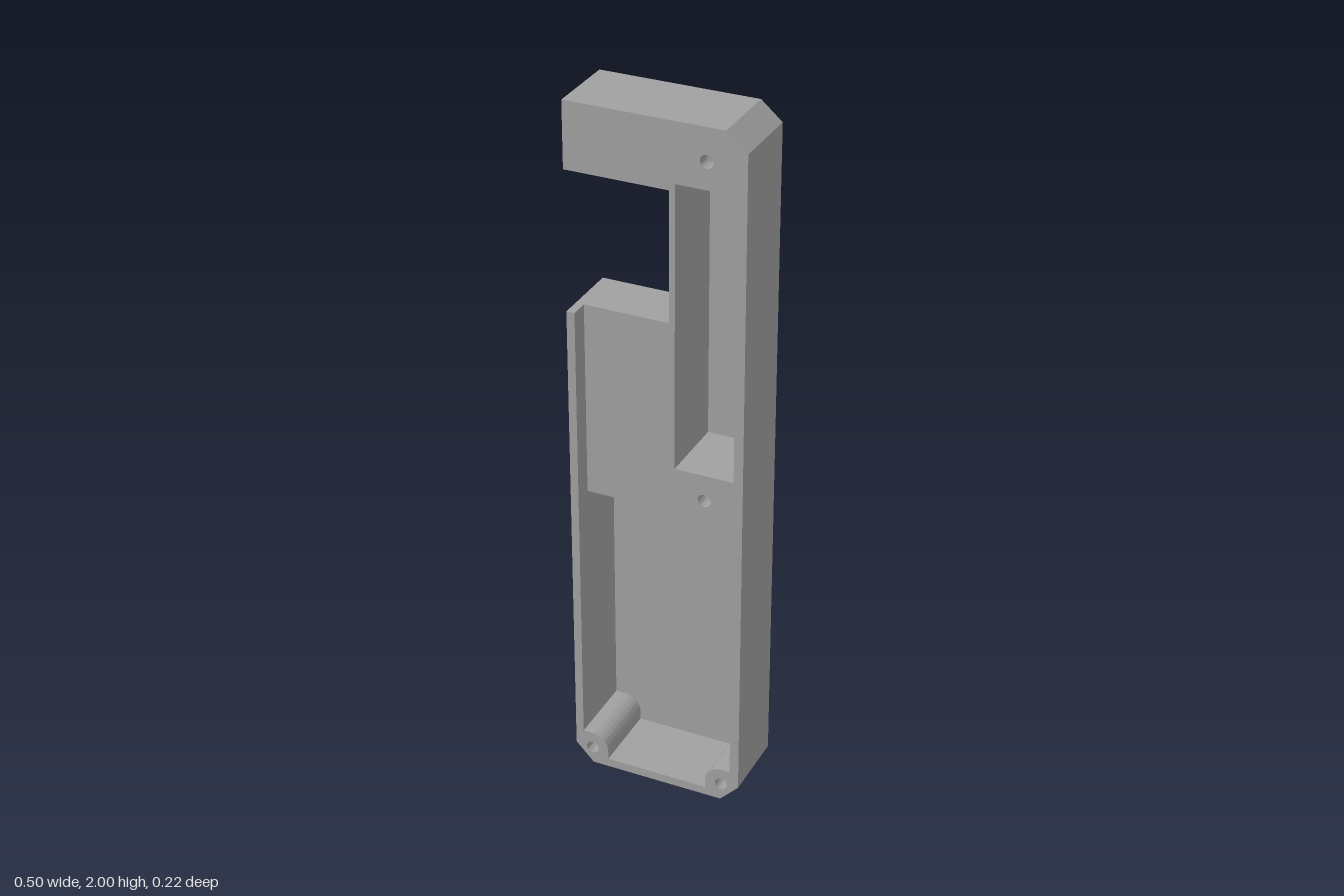
import * as THREE from 'three';
import { toCreasedNormals } from 'three/addons/utils/BufferGeometryUtils.js';

const HX = 0.248;                       // half width
const BX = 0.197, BY = 0.052;           // corner screw centre (mirrored)
const BORE = 0.037, SCREW = 0.018;      // counterbore and screw radii
const SLOT_A = -1.131, SLOT_B = -0.405; // where the corner bore breaks the chamfer
const BACK = -0.11, FLOOR = -0.1, SHELF = 0.055, SEAT = 0.07, FRONT = 0.108;
const WALL = 0.225, RIB = 0.04;         // inner wall and rib positions
const UPPER_SCREWS = [[0.14, 1.91], [0.14, 0.955]];

// outline corners above the base, each with its inset position on the bevelled back
const CORNERS = [
  [HX, 0.055, 0.238, 0.0446], [HX, 1.95, 0.238, 1.946], [0.19, 2, 0.186, 1.99],
  [-HX, 2, -0.238, 1.99], [-HX, 1.815, -0.238, 1.825], [RIB, 1.815, 0.05, 1.825],
  [RIB, 1.42, 0.05, 1.41], [-HX, 1.42, -0.238, 1.41], [-HX, 0.055, -0.238, 0.0446],
];

// cavity edge from the rib, clockwise round the bosses, to the left wall
function traceCavity(path, top) {
  path.lineTo(RIB, 0.515);
  path.lineTo(0.222, 0.515);
  path.lineTo(0.222, BY + 0.048);
  path.absarc(BX, BY, 0.048, Math.PI / 2, Math.PI, false);
  path.lineTo(BX - 0.048, 0.025);
  path.lineTo(-BX + 0.048, 0.025);
  path.absarc(-BX, BY, 0.048, 0, Math.PI / 2, false);
  path.lineTo(-WALL, BY + 0.048);
  path.lineTo(-WALL, top);
}

function outline(slots, openShelf) {
  const s = new THREE.Shape();
  s.moveTo(-0.195, 0);
  s.lineTo(0.195, 0);
  if (slots) s.absarc(BX, BY, BORE, SLOT_A, SLOT_B, true);
  CORNERS.forEach(([x, y], i) => {
    s.lineTo(x, y);
    if (openShelf && i === 6) traceCavity(s, 1.42);
  });
  if (slots) s.absarc(-BX, BY, BORE, Math.PI - SLOT_B, Math.PI - SLOT_A, true);
  s.closePath();
  return s;
}

function addCircle(shape, x, y, r) {
  const p = new THREE.Path();
  p.absarc(x, y, r, 0, Math.PI * 2, true);
  shape.holes.push(p);
}

function addSidePocket(shape) {
  shape.holes.push(new THREE.Path([
    [0.056, 1.03], [0.056, 1.835], [0.222, 1.835], [0.222, 1.03],
  ].map(([x, y]) => new THREE.Vector2(x, y))));
}

function layer(shape, z0, z1) {
  const g = new THREE.ExtrudeGeometry(shape, { depth: z1 - z0, bevelEnabled: false, curveSegments: 24 });
  return g.translate(0, 0, z0);
}

export function createModel() {
  const group = new THREE.Group();
  group.name = 'housing';
  const grey = new THREE.MeshStandardMaterial({ color: 0xa0a0a0 });
  grey.name = 'grey';
  const add = (name, geo) => {
    const m = new THREE.Mesh(toCreasedNormals(geo, 0.5), grey);
    m.name = name;
    group.add(m);
  };
  const bores = (s, r) => UPPER_SCREWS.forEach(([x, y]) => addCircle(s, x, y, r));

  // back plate with bevelled rear edges
  const backShape = outline(true, false);
  bores(backShape, BORE);
  const back = layer(backShape, BACK, FLOOR);
  const p = back.attributes.position;
  for (let i = 0; i < p.count; i++) {
    if (p.getZ(i) > BACK + 0.005) continue;
    const c = CORNERS.find(([x, y]) => Math.hypot(x - p.getX(i), y - p.getY(i)) < 1e-4);
    if (c) p.setXY(i, c[2], c[3]);
  }
  add('backPlate', back);

  // body up to the shelf, with the deep cavity and side pocket
  const body = outline(true, false);
  bores(body, BORE);
  addSidePocket(body);
  const cavity = new THREE.Path();
  cavity.moveTo(RIB, 0.86);
  traceCavity(cavity, 0.86);
  cavity.closePath();
  body.holes.push(cavity);
  add('bodyWalls', layer(body, FLOOR, SHELF));

  // walls above the shelf, still with wide screw bores
  const middle = outline(true, true);
  bores(middle, BORE);
  addSidePocket(middle);
  add('upperWalls', layer(middle, SHELF, SEAT));

  // front rim, with narrow screw holes
  const rim = outline(false, true);
  bores(rim, SCREW);
  for (const s of [-1, 1]) addCircle(rim, s * BX, BY, SCREW);
  addSidePocket(rim);
  add('frontRim', layer(rim, SEAT, FRONT));

  return group;
}
